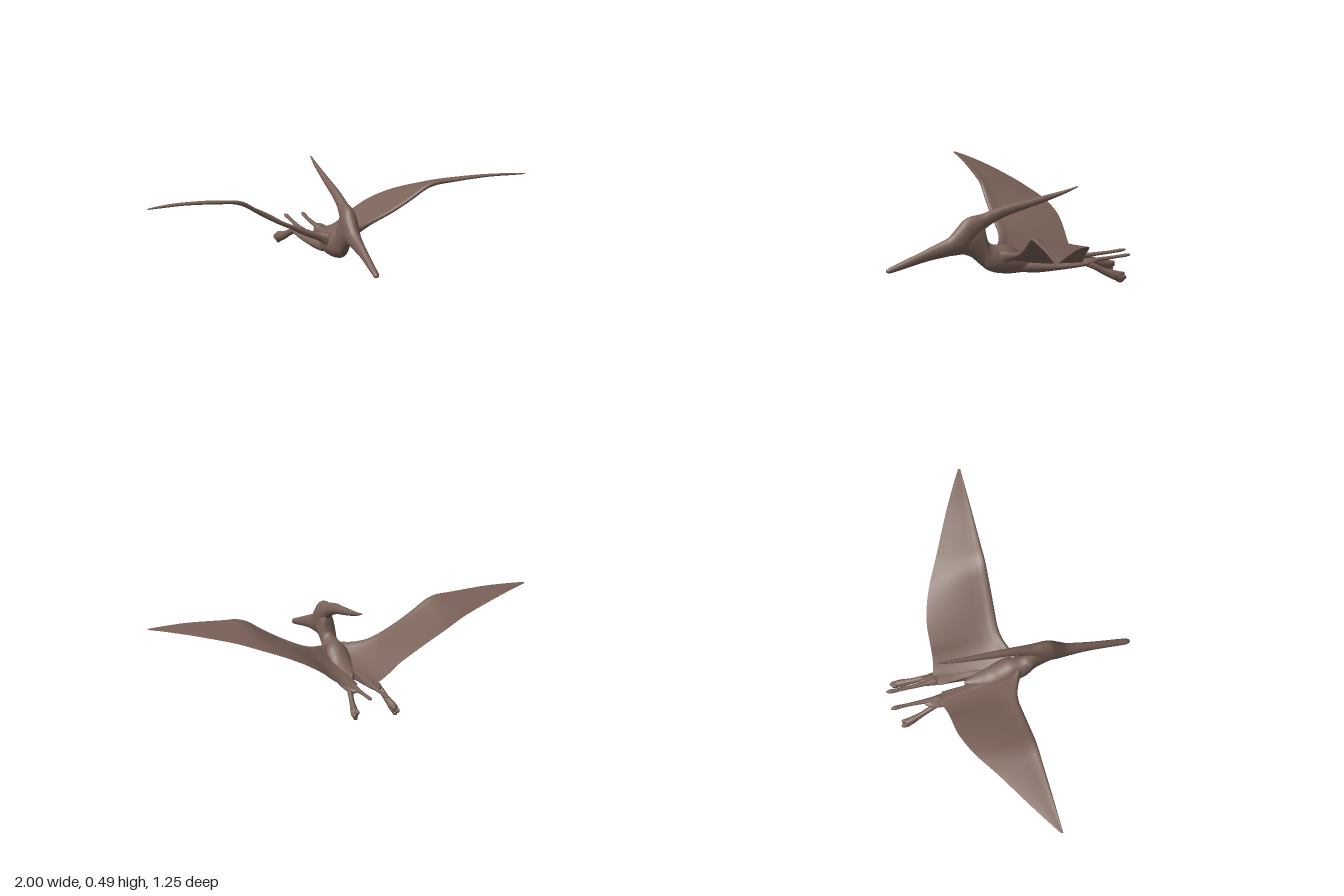
import * as THREE from 'three';

const skin = new THREE.MeshStandardMaterial({ color: 0x7a6258 });
skin.name = 'brown skin';

// Skin a closed surface over rings of points; side -1 mirrors it across x
function loft(name, rings, side = 1) {
  const n = rings[0].length, pos = [], idx = [];
  for (const ring of rings) {
    const r = side < 0 ? [...ring].reverse() : ring;
    for (const p of r) pos.push(p.x * side, p.y, p.z);
  }
  for (let i = 0; i < rings.length - 1; i++) {
    for (let j = 0; j < n; j++) {
      const a = i * n + j, c = i * n + (j + 1) % n;
      idx.push(a, a + n, c, c, a + n, c + n);
    }
  }
  // End caps
  for (const [row, flip] of [[0, false], [rings.length - 1, true]]) {
    const mid = new THREE.Vector3();
    rings[row].forEach((p) => mid.addScaledVector(p, 1 / n));
    const m = pos.length / 3;
    pos.push(mid.x * side, mid.y, mid.z);
    for (let j = 0; j < n; j++) {
      const a = row * n + j, b = row * n + (j + 1) % n;
      if (flip) idx.push(m, b, a); else idx.push(m, a, b);
    }
  }
  const geo = new THREE.BufferGeometry();
  geo.setAttribute('position', new THREE.Float32BufferAttribute(pos, 3));
  geo.setIndex(idx);
  geo.computeVertexNormals();
  const mesh = new THREE.Mesh(geo, skin);
  mesh.name = name;
  return mesh;
}

const smooth = (pts) => new THREE.CatmullRomCurve3(pts.map((p) => new THREE.Vector3(...p)));

// Elliptical limb running front to back; sections are [x, y, z, rx, ry]
function limb(name, sections, side = 1, sides = 20) {
  const path = smooth(sections.map((s) => s.slice(0, 3)));
  const size = smooth(sections.map((s, i) => [s[3], s[4], i * 0.05]));
  const steps = (sections.length - 1) * 5, rings = [];
  for (let i = 0; i <= steps; i++) {
    const c = path.getPoint(i / steps), r = size.getPoint(i / steps), ring = [];
    for (let j = 0; j < sides; j++) {
      const a = (j / sides) * Math.PI * 2;
      ring.push(new THREE.Vector3(c.x + r.x * Math.cos(a), c.y + r.y * Math.sin(a), c.z));
    }
    rings.push(ring);
  }
  return loft(name, rings, side);
}

// Central form from a side profile; rows are [z, top, bottom, half width]
const profile = (name, rows) => limb(name, rows.map(([z, t, b, w]) => [0, (t + b) / 2, z, w, (t - b) / 2]));

// Wing stations: [x, front z, front y, back z, back y, arm thickness]
const WING = [
  [0.018, 0.055, 0.16, -0.35, 0.113, 0.09],
  [0.045, 0.052, 0.168, -0.375, 0.116, 0.08],
  [0.07, 0.04, 0.178, -0.375, 0.118, 0.058],
  [0.1, 0.023, 0.188, -0.365, 0.124, 0.042],
  [0.15, 0.004, 0.202, -0.355, 0.153, 0.032],
  [0.2, -0.004, 0.222, -0.352, 0.193, 0.026],
  [0.3, 0.001, 0.268, -0.345, 0.252, 0.024],
  [0.4, 0.006, 0.326, -0.317, 0.294, 0.024],
  [0.48, 0.009, 0.378, -0.282, 0.319, 0.025],
  [0.53, 0.01, 0.395, -0.255, 0.333, 0.021],
  [0.6, 0.01, 0.4, -0.217, 0.352, 0.016],
  [0.8, 0.012, 0.41, -0.113, 0.386, 0.011],
  [0.93, 0.013, 0.407, -0.04, 0.4, 0.008],
  [1.0, 0.014, 0.404, 0.002, 0.404, 0.004],
];

// Thick arm bone at the leading edge thinning to a membrane
const CHORD = [[0, 0], [0.015, 0.7], [0.05, 1], [0.1, 0.65], [0.16, 0.25], [0.3, 0.16], [0.5, 0.14], [0.7, 0.12], [0.87, 0.1], [1, 0.05]];

function wing(side) {
  const front = smooth(WING.map((s) => [s[0], s[2], s[1]]));
  const back = smooth(WING.map((s) => [s[0], s[4], s[3]]));
  const thick = smooth(WING.map((s) => [s[0], s[5], 0]));
  const steps = (WING.length - 1) * 5, rings = [];
  for (let i = 0; i <= steps; i++) {
    const u = i / steps, f = front.getPoint(u), b = back.getPoint(u), t = thick.getPoint(u).y;
    // The membrane sags beside the body and bulges slightly further out
    const camber = (f.z - b.z) * (-0.05 + 0.075 * THREE.MathUtils.smoothstep(f.x, 0.04, 0.3));
    const at = ([v, h], s) => {
      const p = f.clone().lerp(b, v);
      p.y += s * h * t / 2 + camber * Math.sin(Math.PI * v);
      return p;
    };
    rings.push([...CHORD.map((c) => at(c, 1)), ...CHORD.slice(1).reverse().map((c) => at(c, -1))]);
  }
  return loft(side > 0 ? 'leftWing' : 'rightWing', rings, side);
}

function hindLeg(side) {
  const leg = new THREE.Group();
  leg.name = side > 0 ? 'leftLeg' : 'rightLeg';
  leg.add(
    limb('thigh', [[0.025, 0.11, 0.02, 0.01, 0.015], [0.036, 0.1, -0.12, 0.03, 0.03],
      [0.052, 0.1, -0.25, 0.036, 0.021], [0.06, 0.106, -0.36, 0.036, 0.016],
      [0.06, 0.109, -0.42, 0.026, 0.014], [0.058, 0.11, -0.45, 0.006, 0.006]], side),
    limb('rearSpur', [[0.05, 0.113, -0.36, 0.02, 0.013], [0.046, 0.114, -0.44, 0.013, 0.01],
      [0.044, 0.12, -0.54, 0.009, 0.008], [0.045, 0.125, -0.6, 0.011, 0.008], [0.046, 0.127, -0.622, 0.004, 0.004]], side),
    limb('shin', [[0.068, 0.11, -0.38, 0.02, 0.014], [0.083, 0.09, -0.43, 0.014, 0.017],
      [0.093, 0.063, -0.48, 0.014, 0.02], [0.102, 0.043, -0.53, 0.019, 0.026],
      [0.106, 0.036, -0.56, 0.016, 0.022], [0.106, 0.034, -0.572, 0.004, 0.006]], side),
  );
  // Three short blunt toes
  for (const [x, y, z] of [[0.098, 0.046, -0.582], [0.114, 0.032, -0.586], [0.105, 0.018, -0.576]]) {
    leg.add(limb('toe', [[0.1, 0.044, -0.51, 0.008, 0.009], [x, y, -0.55, 0.011, 0.014],
      [x, y, z + 0.011, 0.01, 0.012], [x, y, z + 0.003, 0.006, 0.008], [x, y, z, 0.001, 0.001]], side, 12));
  }
  return leg;
}

export function createModel() {
  const model = new THREE.Group();
  model.name = 'flyingReptile';

  // Beak, skull and swept-back crest
  model.add(profile('headAndCrest', [
    [0.623, 0.128, 0.115, 0.006], [0.605, 0.139, 0.11, 0.015], [0.5, 0.183, 0.136, 0.018],
    [0.4, 0.226, 0.16, 0.021], [0.3, 0.272, 0.176, 0.03], [0.26, 0.315, 0.178, 0.036],
    [0.22, 0.358, 0.185, 0.041], [0.18, 0.375, 0.225, 0.038], [0.13, 0.382, 0.29, 0.03],
    [0.08, 0.398, 0.328, 0.024], [0, 0.42, 0.364, 0.02], [-0.1, 0.437, 0.394, 0.017],
    [-0.2, 0.456, 0.423, 0.013], [-0.3, 0.475, 0.457, 0.009], [-0.366, 0.491, 0.485, 0.004],
  ]));

  // Neck curving down into the chest and short tail end
  model.add(profile('neckAndBody', [
    [0.27, 0.24, 0.186, 0.012], [0.22, 0.31, 0.178, 0.032], [0.185, 0.335, 0.163, 0.036],
    [0.15, 0.345, 0.131, 0.036], [0.12, 0.325, 0.103, 0.037], [0.106, 0.265, 0.092, 0.04],
    [0.095, 0.234, 0.086, 0.043], [0.065, 0.218, 0.074, 0.052],
    [0, 0.212, 0.065, 0.062], [-0.05, 0.185, 0.066, 0.06], [-0.1, 0.152, 0.07, 0.054],
    [-0.15, 0.138, 0.074, 0.044], [-0.2, 0.125, 0.08, 0.028], [-0.23, 0.112, 0.095, 0.006],
  ]));

  for (const side of [1, -1]) model.add(wing(side), hindLeg(side));
  return model;
}
